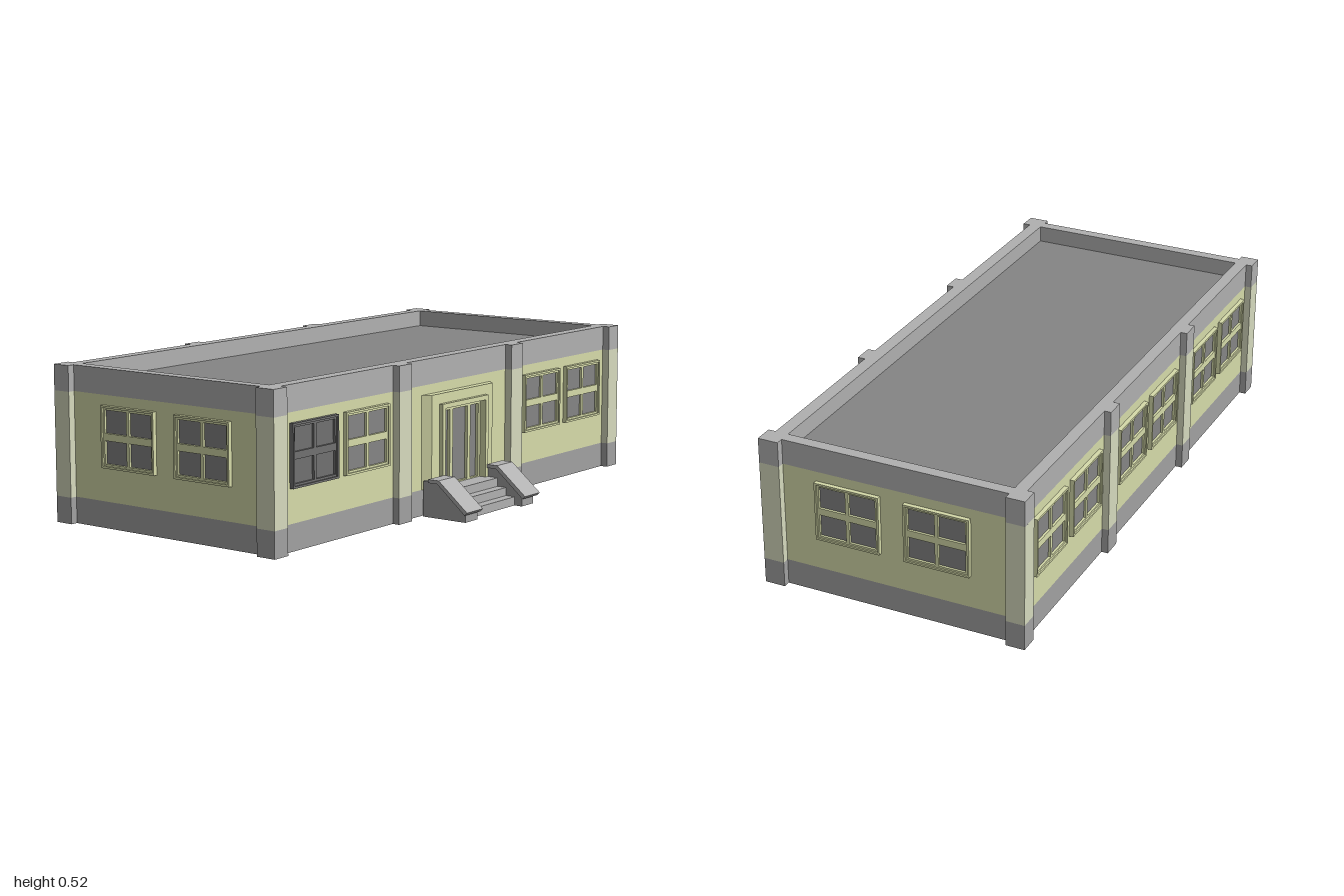
import * as THREE from 'three';

const mat = (color) => new THREE.MeshStandardMaterial({ color, flatShading: true });
const M = {
  wall: mat(0xd6dbaa), pillar: mat(0xd6dabe), band: mat(0xb0b0b0), base: mat(0xa1a1a1),
  roof: mat(0x858585), glass: mat(0x858585), dark: mat(0x707070), slope: mat(0x9a9a9a),
};

const BASE = 0.088, BAND = 0.437, TOP = 0.523;
const X = 0.975, ZF = 0.35, ZB = -0.525; // wall planes

function add(parent, name, geo, material) {
  const mesh = new THREE.Mesh(geo, material);
  mesh.name = name;
  parent.add(mesh);
  return mesh;
}

// Box given by its min and max corners
function box(parent, name, [x0, y0, z0], [x1, y1, z1], material) {
  const geo = new THREE.BoxGeometry(x1 - x0, y1 - y0, z1 - z0);
  geo.translate((x0 + x1) / 2, (y0 + y1) / 2, (z0 + z1) / 2);
  return add(parent, name, geo, material);
}

function polygon(points, Type = THREE.Shape) {
  return new Type(points.map(([x, y]) => new THREE.Vector2(x, y)));
}
const rect = (x0, y0, x1, y1) => [[x0, y0], [x1, y0], [x1, y1], [x0, y1]];

// Extruded outline with holes, from z = 0 to z = depth
function plate(outline, holes, depth) {
  const shape = polygon(outline);
  for (const h of holes) shape.holes.push(polygon(h, THREE.Path));
  return new THREE.ExtrudeGeometry(shape, { depth, bevelEnabled: false });
}

// Window: raised rim, recessed cross sash and glass, facing +z
const W = 0.114, H = 0.102;
const panes = [[-1, -1], [1, -1], [-1, 1], [1, 1]].map(([sx, sy]) => rect(
  Math.min(sx * 0.006, sx * 0.1), Math.min(sy * 0.012, sy * 0.088),
  Math.max(sx * 0.006, sx * 0.1), Math.max(sy * 0.012, sy * 0.088)));
const rimGeo = plate(rect(-W, -H, W, H), [rect(-W + 0.007, -H + 0.007, W - 0.007, H - 0.007)], 0.015);
const sashGeo = plate(rect(-W + 0.006, -H + 0.006, W - 0.006, H - 0.006), panes, 0.01);
const glassGeo = new THREE.PlaneGeometry(2 * W - 0.014, 2 * H - 0.014).translate(0, 0, 0.002);

function addWindow(parent, x, z, turn, dark = false) {
  const g = new THREE.Group();
  g.name = dark ? 'darkWindow' : 'window';
  add(g, 'windowRim', rimGeo, dark ? M.dark : M.wall);
  add(g, 'windowSash', sashGeo, dark ? M.dark : M.wall);
  add(g, 'windowGlass', glassGeo, dark ? M.dark : M.glass);
  g.position.set(x, 0.302, z);
  g.rotation.y = turn;
  parent.add(g);
}

// Pillar in three colour bands
function addPillar(parent, x0, x1, z0, z1) {
  const g = new THREE.Group();
  g.name = 'pillar';
  box(g, 'pillarBase', [x0, 0, z0], [x1, BASE, z1], M.base);
  box(g, 'pillarShaft', [x0, BASE, z0], [x1, BAND, z1], M.pillar);
  box(g, 'pillarTop', [x0, BAND, z0], [x1, TOP, z1], M.band);
  parent.add(g);
}

function buildShell(root) {
  box(root, 'plinth', [-X, 0, ZB], [X, BASE, ZF], M.base);
  box(root, 'walls', [-X, BASE, ZB], [X, BAND, ZF], M.wall);
  // Parapet ring, extruded upward (shape y becomes -z)
  const ring = plate(rect(-X, -ZF, X, -ZB), [rect(-0.935, -0.305, 0.935, 0.483)], TOP - BAND);
  add(root, 'parapet', ring.rotateX(-Math.PI / 2).translate(0, BAND, 0), M.band);
  box(root, 'roof', [-0.936, 0.43, -0.484], [0.936, 0.465, 0.306], M.roof);
  // Corner pillars
  for (const [x0, x1] of [[-1, -0.9352], [0.9352, 1]]) {
    addPillar(root, x0, x1, 0.3052, 0.376);
    addPillar(root, x0, x1, -0.548, -0.4832);
  }
  // Pillars along the front and back
  for (const x of [-0.329, 0.324]) {
    addPillar(root, x - 0.035, x + 0.035, ZF - 0.02, 0.376);
    addPillar(root, x - 0.035, x + 0.035, -0.548, ZB + 0.02);
  }
}

function buildWindows(root) {
  for (const x of [-0.78, -0.512, 0.51, 0.78]) addWindow(root, x, ZF, 0, x === -0.78);
  for (const x of [-0.78, -0.512, -0.136, 0.136, 0.51, 0.78]) addWindow(root, x, ZB, Math.PI);
  for (const z of [0.073, -0.24]) {
    addWindow(root, X, z, Math.PI / 2);
    addWindow(root, -X, z, -Math.PI / 2);
  }
}

function buildEntrance(root) {
  const g = new THREE.Group();
  g.name = 'entrance';
  g.position.x = -0.005;
  root.add(g);
  // Surround with chamfered sides and an opening for the door
  const open = 0.118;
  const side = [[open, -ZF], [0.2, -ZF], [0.178, -0.376], [open, -0.376]];
  for (const s of [-1, 1]) {
    const geo = plate(side.map(([x, z]) => [x * s, z]), [], 0.405 - BASE);
    add(g, 'doorSurround', geo.rotateX(-Math.PI / 2).translate(0, BASE, 0), M.wall);
  }
  box(g, 'doorLintel', [-open, 0.355, ZF], [open, 0.405, 0.376], M.wall);
  // Raised door frame
  const frame = plate([[-0.134, BASE], [-0.118, BASE], [-0.118, 0.355], [0.118, 0.355],
    [0.118, BASE], [0.134, BASE], [0.134, 0.371], [-0.134, 0.371]], [], 0.02);
  add(g, 'doorFrame', frame.translate(0, 0, 0.37), M.wall);
  // Door leaf with three tall panes
  const leaf = plate(rect(-0.118, BASE, 0.118, 0.355), [
    rect(-0.107, 0.092, -0.06, 0.342), rect(-0.043, 0.092, 0.043, 0.342),
    rect(0.06, 0.092, 0.107, 0.342)], 0.014);
  add(g, 'door', leaf.translate(0, 0, 0.352), M.wall);
  box(g, 'doorGlass', [-0.117, BASE, 0.345], [0.117, 0.35, 0.355], M.glass);

  // Steps
  [[0.43, 0.088], [0.465, 0.058], [0.5, 0.03]].forEach(([z, y], i) =>
    box(g, i ? 'step' : 'landing', [-0.135, 0, 0.34], [0.135, y - (i ? 0 : 0.0005), z], M.band));

  // Sloping cheek walls, profile in (z, y), with a wider coping slab
  const cheek = [[0.36, 0], [0.53, 0], [0.53, 0.034], [0.427, 0.12], [0.36, 0.12]];
  const coping = [[0.39, 0.119], [0.427, 0.119], [0.537, 0.027], [0.547, 0.037], [0.433, 0.131], [0.39, 0.131]];
  const across = (profile, width, x) =>
    plate(profile, [], width).translate(0, 0, -width / 2).rotateY(-Math.PI / 2).translate(x, 0, 0);
  for (const s of [-1, 1]) {
    add(g, 'cheekWall', across(cheek, 0.07, s * 0.168), M.base);
    add(g, 'coping', across(coping, 0.092, s * 0.172), M.band);
  }
}

export function createModel() {
  const root = new THREE.Group();
  root.name = 'building';
  buildShell(root);
  buildWindows(root);
  buildEntrance(root);
  return root;
}
